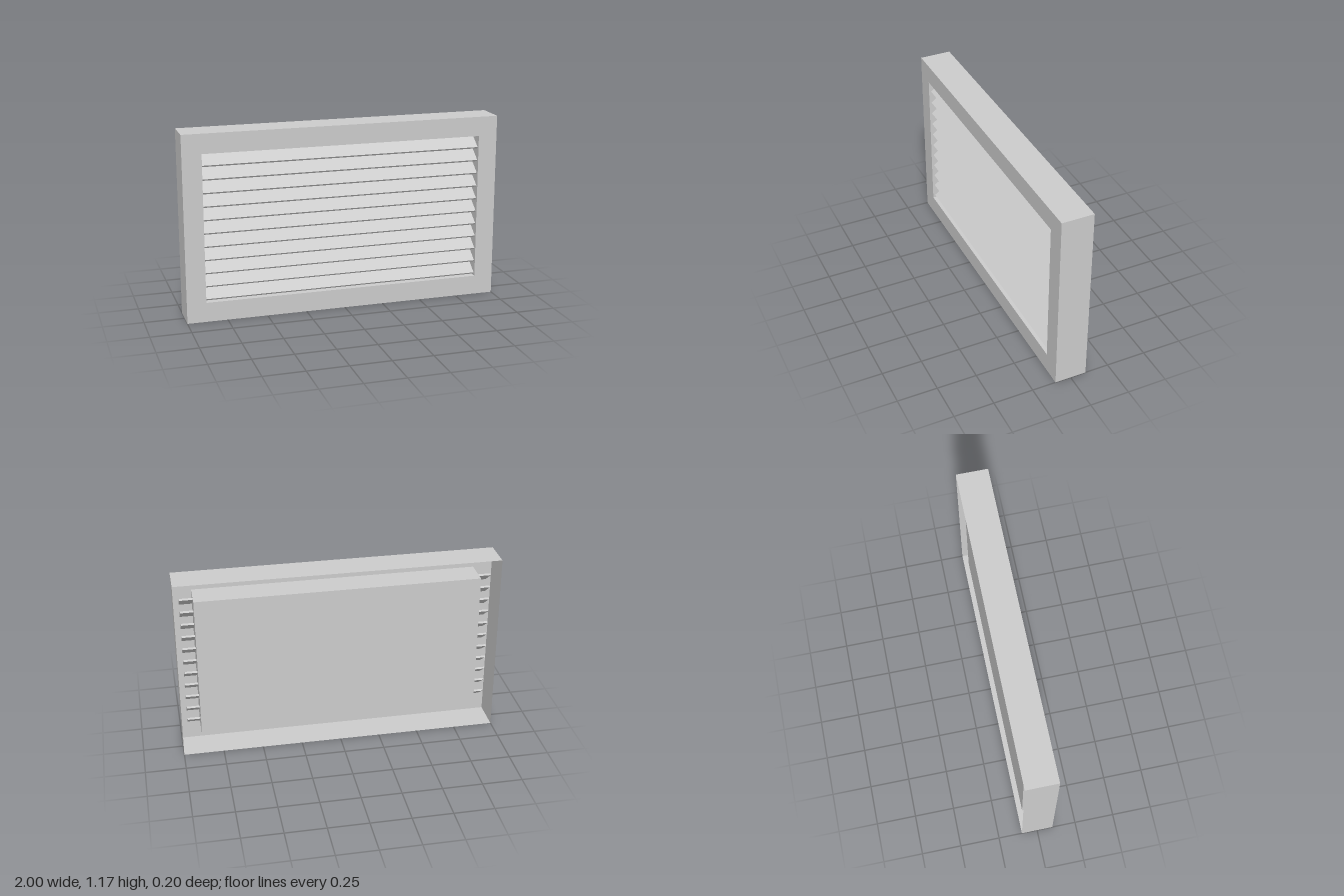
import * as THREE from 'three';

const W = 2, H = 1.17, D = 0.2;             // outer casing
const OPEN_W = 1.76, OPEN_H = 0.925;        // front opening
const MID_Y = H / 2, FRONT = D / 2, TRAY_BACK = -0.075;

const metal = new THREE.MeshStandardMaterial({ color: 0xcccccc, side: THREE.DoubleSide });

function add(parent, name, geometry, x, y, z) {
  const mesh = new THREE.Mesh(geometry, metal);
  mesh.name = name;
  mesh.position.set(x, y, z);
  parent.add(mesh);
  return mesh;
}

// Four thin sheet walls around a w x h rectangle, from zBack to zFront
function sheetWalls(name, w, h, zBack, zFront) {
  const group = new THREE.Group();
  group.name = name;
  const depth = zFront - zBack, z = (zFront + zBack) / 2;
  for (const s of [-1, 1]) {
    const side = new THREE.PlaneGeometry(depth, h).rotateY(s * Math.PI / 2);
    add(group, s > 0 ? 'leftWall' : 'rightWall', side, s * w / 2, MID_Y, z);
    const flat = new THREE.PlaneGeometry(w, depth).rotateX(-s * Math.PI / 2);
    add(group, s > 0 ? 'topWall' : 'bottomWall', flat, 0, MID_Y + s * h / 2, z);
  }
  return group;
}

function rectangle(PathType, w, h) {
  const p = new PathType();
  p.moveTo(-w / 2, -h / 2);
  p.lineTo(w / 2, -h / 2);
  p.lineTo(w / 2, h / 2);
  p.lineTo(-w / 2, h / 2);
  p.closePath();
  return p;
}

export function createModel() {
  const model = new THREE.Group();
  model.name = 'louvredVent';

  // Casing, open at the back
  model.add(sheetWalls('casing', W, H, -FRONT, FRONT));

  // Front plate with the rectangular opening
  const plate = rectangle(THREE.Shape, W, H);
  plate.holes.push(rectangle(THREE.Path, OPEN_W, OPEN_H));
  add(model, 'frontPlate', new THREE.ShapeGeometry(plate), 0, MID_Y, FRONT);

  // Shallow tray closing the opening from behind
  const tray = sheetWalls('tray', OPEN_W, OPEN_H, TRAY_BACK, FRONT);
  add(tray, 'trayBack', new THREE.PlaneGeometry(OPEN_W, OPEN_H), 0, MID_Y, TRAY_BACK);
  model.add(tray);

  // Tilted slats: low edge to the front, ends passing through the tray sides
  const slats = new THREE.Group();
  slats.name = 'slats';
  const slat = new THREE.BoxGeometry(1.92, 0.012, 0.12).rotateX(0.645);
  for (let i = 0; i < 11; i++) {
    add(slats, 'slat', slat, 0, 0.172 + i * 0.0833, 0.034);
  }
  model.add(slats);

  return model;
}
